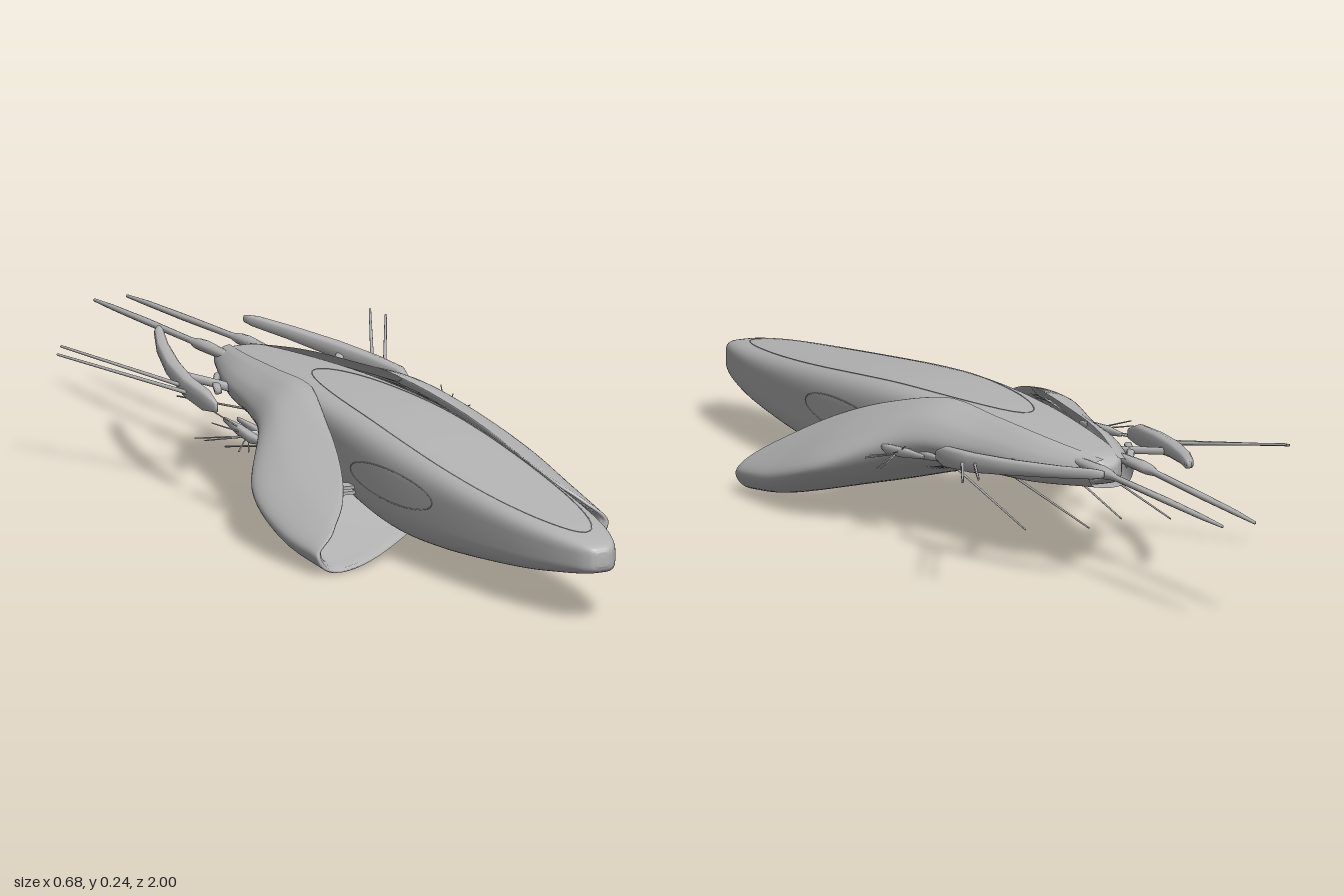
import * as THREE from 'three';

const hullGrey = new THREE.MeshStandardMaterial({ color: 0xb4b4b4 });
hullGrey.name = 'hull grey';
const shellGrey = new THREE.MeshStandardMaterial({ color: 0xb4b4b4, side: THREE.DoubleSide });
shellGrey.name = 'shell grey';

// Skin a list of rings (arrays of Vector3, ordered front to back)
function loft(rings, closed = true) {
  const n = rings[0].length, pos = [], idx = [];
  rings.forEach(r => r.forEach(p => pos.push(p.x, p.y, p.z)));
  for (let i = 0; i < rings.length - 1; i++) {
    for (let j = 0; j < (closed ? n : n - 1); j++) {
      const a = i * n + j, b = i * n + (j + 1) % n, c = a + n, d = b + n;
      idx.push(a, c, b, b, c, d);
    }
  }
  const g = new THREE.BufferGeometry();
  g.setAttribute('position', new THREE.Float32BufferAttribute(pos, 3));
  g.setIndex(idx);
  g.computeVertexNormals();
  return g;
}

const spow = (v, e) => Math.sign(v) * Math.pow(Math.abs(v), e);

// Rounded-box ring in the xy plane
function ring(x, y, z, rx, ry, n = 12, power = 2) {
  return Array.from({ length: n }, (_, j) => {
    const a = (j / n) * Math.PI * 2;
    return new THREE.Vector3(x + rx * spow(Math.cos(a), 2 / power), y + ry * spow(Math.sin(a), 2 / power), z);
  });
}

const smooth = pts => new THREE.CatmullRomCurve3(pts.map(p => new THREE.Vector3(...p)), false, 'catmullrom', 0.5);

// Hull stations: z, half width, top, bottom
const stations = [
  [1.0, 0.012, 0.138, 0.112], [0.992, 0.026, 0.148, 0.1], [0.965, 0.043, 0.156, 0.093], [0.9, 0.064, 0.166, 0.083],
  [0.8, 0.083, 0.177, 0.069], [0.65, 0.1, 0.193, 0.054], [0.5, 0.111, 0.209, 0.043], [0.35, 0.117, 0.224, 0.042],
  [0.2, 0.116, 0.235, 0.062], [0.05, 0.107, 0.239, 0.1], [-0.1, 0.092, 0.239, 0.13], [-0.25, 0.074, 0.234, 0.142],
  [-0.38, 0.056, 0.226, 0.152], [-0.46, 0.038, 0.219, 0.162], [-0.49, 0.014, 0.205, 0.18],
];
const hullSize = smooth(stations.map(s => s.slice(1)));
const hullZ = smooth(stations.map(s => [s[0], 0, 0]));

function hullAt(z) {
  let lo = 0, hi = 1;
  for (let i = 0; i < 24; i++) {
    const m = (lo + hi) / 2;
    if (hullZ.getPoint(m).x > z) lo = m; else hi = m;
  }
  return hullSize.getPoint(lo);
}

function hullGeometry() {
  const rings = [];
  for (let i = 0; i <= 84; i++) {
    const s = hullSize.getPoint(i / 84), z = hullZ.getPoint(i / 84).x;
    const y = (s.y + s.z) / 2, h = (s.y - s.z) / 2;
    if (i === 0) rings.push(ring(0, y, z, 0, 0, 64));
    rings.push(ring(0, y, z, s.x, h, 64, 4));
    if (i === 84) rings.push(ring(0, y, z, 0, 0, 64));
  }
  return loft(rings);
}

// Wing shell sections at even z steps, from the top inner edge round the tip to the belly
const sections = [
  [[0.165, 0.13], [0.205, 0.1], [0.26, 0.075], [0.302, 0.04], [0.27, 0.003], [0.18, 0.005], [0, 0.025]],
  [[0.14, 0.18], [0.185, 0.155], [0.26, 0.11], [0.31, 0.06], [0.27, 0.025], [0.16, 0.028], [0, 0.04]],
  [[0.115, 0.22], [0.16, 0.203], [0.235, 0.16], [0.288, 0.105], [0.24, 0.07], [0.13, 0.064], [0, 0.068]],
  [[0.088, 0.247], [0.125, 0.238], [0.17, 0.212], [0.195, 0.17], [0.165, 0.13], [0.095, 0.117], [0, 0.117]],
  [[0.075, 0.242], [0.1, 0.23], [0.13, 0.208], [0.142, 0.178], [0.115, 0.145], [0.065, 0.132], [0, 0.132]],
  [[0.055, 0.232], [0.075, 0.224], [0.098, 0.205], [0.106, 0.182], [0.085, 0.152], [0.045, 0.145], [0, 0.145]],
  [[0.015, 0.215], [0.03, 0.211], [0.043, 0.2], [0.047, 0.187], [0.038, 0.168], [0.02, 0.162], [0, 0.16]],
];
const guides = sections[0].map((_, k) => smooth(sections.map(s => [...s[k], 0])));
const edgeCurve = smooth([0, 0.31, 0.41, 0.43, 0.43, 0.4, 0.27].map(z => [z, 0, 0]));

// One half of a shell ring; v runs from the leading edge to the tail, scale insets it
function shellRing(v, scale = 1, setBack = 0) {
  const N = 48, half = [];
  for (let j = 0; j <= N; j++) {
    const u = j / N, edge = Math.min(0.432, edgeCurve.getPoint(u).x);
    const z = THREE.MathUtils.lerp(edge, -0.49, v) - setBack;
    const t = THREE.MathUtils.clamp((0.45 - z) / 0.94, 0, 1);
    const pts = guides.map(g => g.getPoint(t));
    const p = new THREE.CatmullRomCurve3(pts, false, 'catmullrom', 0.5).getPoint(u);
    const cx = pts[3].x * 0.6, cy = (pts[2].y + pts[5].y) / 2;
    const fade = 1 - THREE.MathUtils.smoothstep(u, 0.8, 1);
    half.push(new THREE.Vector3(
      THREE.MathUtils.lerp(p.x, cx + (p.x - cx) * scale, fade),
      cy + (p.y - cy) * scale, z));
  }
  const left = half.slice(0, -1).map(p => new THREE.Vector3(-p.x, p.y, p.z));
  return [...left, ...half.reverse()];
}

function shellGeometry() {
  // Stepped inner lips, then the outer skin
  const rings = [shellRing(0, 0.78, 0.25), shellRing(0, 0.8, 0.1), shellRing(0, 0.83, 0.03), shellRing(0, 0.87, 0.012),
    shellRing(0, 0.9, 0.012), shellRing(0, 0.92, 0.003), shellRing(0, 0.97, 0)];
  for (let i = 0; i <= 40; i++) rings.push(shellRing(i / 40 + 0.004 * (1 - i / 40)));
  return loft(rings, false);
}

export function createModel() {
  const model = new THREE.Group();
  const add = (name, geometry, material = hullGrey) => {
    const mesh = new THREE.Mesh(geometry, material);
    mesh.name = name;
    model.add(mesh);
    return mesh;
  };
  // Tapered bar through stations [x, y, z, rx, ry], ordered front to back
  const bar = (name, side, pts, power = 2) => {
    const all = [[...pts[0].slice(0, 3), 0, 0], ...pts, [...pts[pts.length - 1].slice(0, 3), 0, 0]];
    add(name, loft(all.map(p => ring(p[0] * side, p[1], p[2], p[3], p[4], 12, power))));
  };
  const rod = (name, side, a, b, r = 0.0025) => bar(name, side, [[...a, r, r], [...b, r * 0.6, r * 0.6]]);

  add('hull', hullGeometry());
  add('wingShell', shellGeometry(), shellGrey);

  // Oval seam on the upper deck
  const seam = [];
  for (let i = 0; i < 96; i++) {
    const a = (i / 96) * Math.PI * 2, z = 0.385 + 0.545 * Math.cos(a), s = hullAt(z);
    const x = THREE.MathUtils.clamp(0.083 * Math.sin(a), -0.85 * s.x, 0.85 * s.x);
    const mid = (s.y + s.z) / 2;
    seam.push(new THREE.Vector3(x, mid + (s.y - mid) * Math.pow(1 - Math.pow(x / s.x, 4), 0.25), z));
  }
  add('deckSeam', new THREE.TubeGeometry(new THREE.CatmullRomCurve3(seam, true), 192, 0.001, 5, true));

  for (const s of [1, -1]) {
    // Long tail barrels
    bar('tailBarrel', s, [[0.043, 0.205, -0.4, 0.008, 0.008], [0.043, 0.205, -0.53, 0.014, 0.011],
      [0.043, 0.204, -0.56, 0.013, 0.01], [0.042, 0.203, -0.59, 0.006, 0.006], [0.038, 0.198, -0.78, 0.008, 0.006],
      [0.036, 0.194, -0.92, 0.006, 0.005], [0.034, 0.191, -1.0, 0.003, 0.003]]);

    // Swept tail blades and their braces
    bar('tailBlade', s, [[0.2, 0.182, -0.18, 0.004, 0.01], [0.201, 0.187, -0.22, 0.012, 0.02],
      [0.192, 0.192, -0.31, 0.014, 0.019], [0.168, 0.202, -0.42, 0.015, 0.015], [0.133, 0.212, -0.53, 0.013, 0.012],
      [0.1, 0.22, -0.61, 0.01, 0.01], [0.09, 0.222, -0.63, 0.005, 0.007]], 3);
    bar('bladeBrace', s, [[0.09, 0.18, -0.27, 0.012, 0.008], [0.125, 0.187, -0.33, 0.01, 0.007], [0.17, 0.195, -0.4, 0.01, 0.007]], 3);
    bar('bladeBrace', s, [[0.145, 0.185, -0.28, 0.008, 0.006], [0.12, 0.185, -0.34, 0.008, 0.006], [0.08, 0.18, -0.41, 0.008, 0.006]], 3);

    // Paired antennas
    rod('antenna', s, [0.2, 0.186, -0.28], [0.34, 0.218, -0.55], 0.004);
    rod('antenna', s, [0.19, 0.19, -0.31], [0.32, 0.226, -0.575], 0.004);

    // Side fins with sensor spikes
    bar('sideFin', s, [[0.209, 0.16, 0.03, 0.003, 0.004], [0.21, 0.16, -0.01, 0.01, 0.009],
      [0.209, 0.165, -0.07, 0.009, 0.009], [0.206, 0.17, -0.135, 0.003, 0.004]], 3);
    bar('innerFin', s, [[0.16, 0.15, 0.02, 0.006, 0.005], [0.166, 0.155, -0.06, 0.009, 0.008], [0.17, 0.163, -0.15, 0.003, 0.004]], 3);
    bar('finStrut', s, [[0.14, 0.155, -0.02, 0.006, 0.006], [0.21, 0.162, -0.055, 0.006, 0.006]]);
    for (const [x, y, z] of [[0.27, 0.146, -0.09], [0.285, 0.15, -0.1], [0.25, 0.175, -0.1], [0.235, 0.19, -0.12]])
      rod('sensorSpike', s, [0.2, 0.16, -0.03], [x, y, z], 0.0018);
    for (const [x, z] of [[0.25, 0.01], [0.235, 0.02]])
      rod('sensorSpike', s, [x, 0.145, z], [0.2, 0.16, -0.05], 0.0018);

    // Lower trailing probes
    rod('lowerProbe', s, [0.1, 0.13, -0.04], [0.1, 0.062, -0.34]);
    rod('lowerProbe', s, [0.085, 0.155, -0.2], [0.085, 0.108, -0.565]);

    // Struts between hull and wing inside the intake
    for (const y of [0.096, 0.106]) {
      const strut = add('intakeStrut', new THREE.BoxGeometry(0.1, 0.006, 0.03));
      strut.position.set(0.135 * s, y, 0.2);
    }

    // Oval seam on the hull flank
    const flank = [];
    for (let i = 0; i < 40; i++) {
      const a = (i / 40) * Math.PI * 2, z = 0.36 + 0.16 * Math.cos(a), y = 0.14 + 0.03 * Math.sin(a), h = hullAt(z);
      const k = (y - (h.y + h.z) / 2) / ((h.y - h.z) / 2);
      flank.push(new THREE.Vector3(s * h.x * Math.pow(1 - Math.pow(k, 4), 0.25), y, z));
    }
    add('flankSeam', new THREE.TubeGeometry(new THREE.CatmullRomCurve3(flank, true), 80, 0.001, 5, true));
  }
  return model;
}
